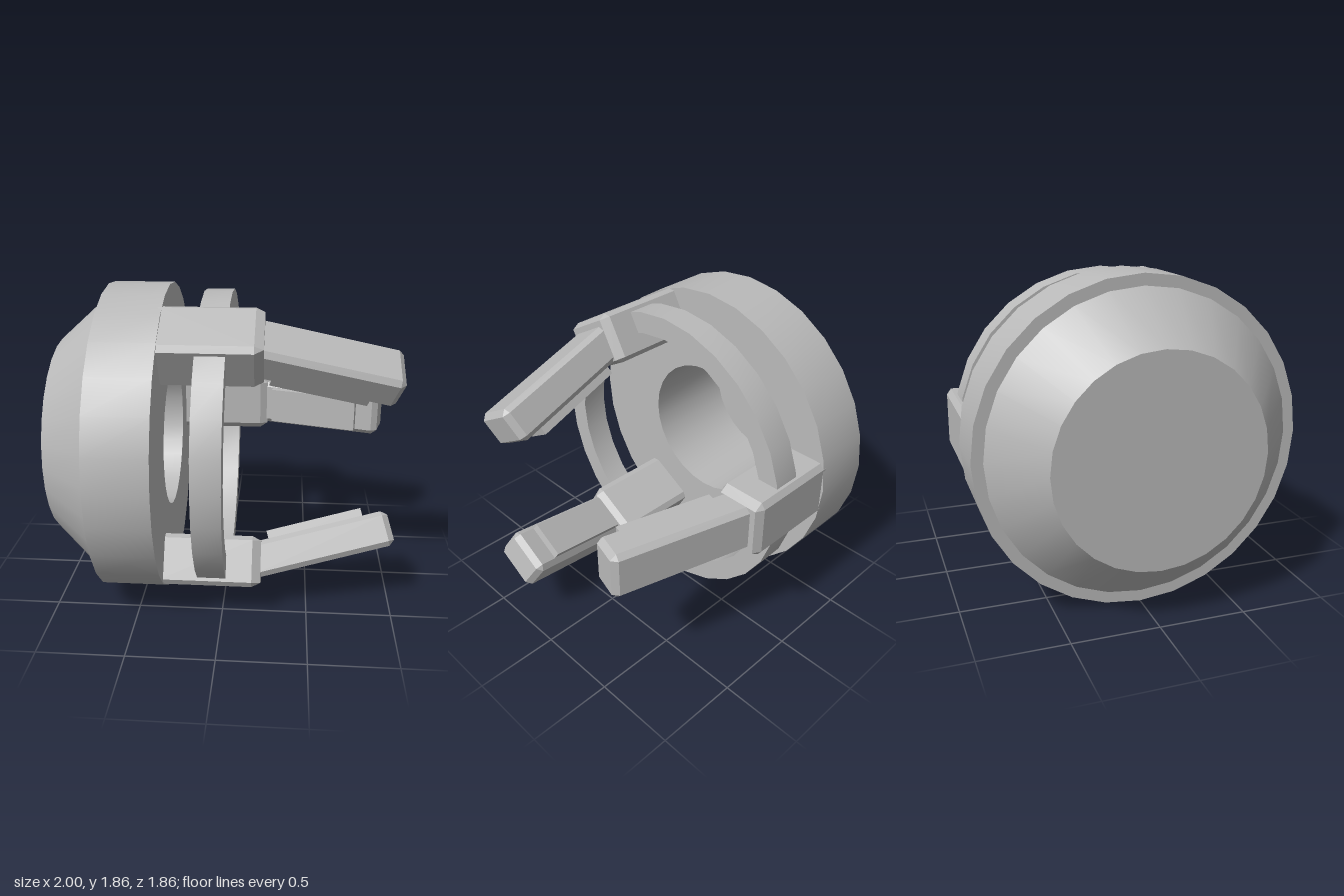
import * as THREE from 'three';
import { toCreasedNormals } from 'three/addons/utils/BufferGeometryUtils.js';
import { ConvexGeometry } from 'three/addons/geometries/ConvexGeometry.js';

const gray = new THREE.MeshStandardMaterial({ color: 0xbababa });
gray.name = 'plainGray';

function part(name, geometry, parent) {
  const mesh = new THREE.Mesh(geometry, gray);
  mesh.name = name;
  parent.add(mesh);
  return mesh;
}

// Turned part around the x axis; profile is a list of [radius, x]
function turned(profile) {
  const points = profile.map(([r, x]) => new THREE.Vector2(r, x));
  return toCreasedNormals(new THREE.LatheGeometry(points, 28).rotateZ(-Math.PI / 2), 0.4);
}

// Box with all edges and corners cut; b gives the cut along each axis
function chamferedBox(size, b) {
  const points = [];
  for (let face = 0; face < 3; face++)
    for (const sx of [-1, 1]) for (const sy of [-1, 1]) for (const sz of [-1, 1]) {
      const p = [sx, sy, sz].map((s, i) => s * (size[i] / 2 - (i === face ? 0 : b[i])));
      points.push(new THREE.Vector3(...p));
    }
  return new ConvexGeometry(points);
}

// One finger, with y pointing away from the claw axis
function makeFinger() {
  const finger = new THREE.Group();
  finger.name = 'finger';

  const knuckle = part('knuckle', chamferedBox([0.635, 0.295, 0.36], [0.05, 0.025, 0.035]), finger);
  knuckle.position.set(-0.0925, 0.7675, 0);

  const tip = new THREE.Group();
  tip.name = 'fingerTip';
  tip.position.set(0.565, 0.6535, 0);
  tip.rotation.z = -0.271;
  finger.add(tip);
  part('fingerBar', chamferedBox([0.86, 0.208, 0.29], [0.035, 0.028, 0.03]), tip);

  // Grip pad on the inner face
  const pad = part('gripPad', new THREE.BoxGeometry(0.57, 0.08, 0.225), tip);
  pad.position.set(0.003, -0.11, 0);
  return finger;
}

export function createModel() {
  const model = new THREE.Group();
  model.name = 'claw';
  const claw = new THREE.Group();
  claw.name = 'clawAssembly';
  claw.position.y = 0.93;
  model.add(claw);

  // Hub with tapered back and deep bore
  part('hub', turned([
    [0, -1], [0.595, -1], [0.865, -0.7], [0.93, -0.7], [0.93, -0.34],
    [0.433, -0.34], [0.433, -0.94], [0, -0.94],
  ]), claw);

  // Ring joining the fingers
  part('ring', turned([
    [0.765, -0.14], [0.893, -0.14], [0.893, 0.025], [0.765, 0.025], [0.765, -0.14],
  ]), claw);

  // Three fingers evenly spaced around the axis
  for (let i = 0; i < 3; i++) {
    const finger = makeFinger();
    finger.rotation.x = -Math.PI / 2 + i * Math.PI * 2 / 3;
    claw.add(finger);
  }
  return model;
}
